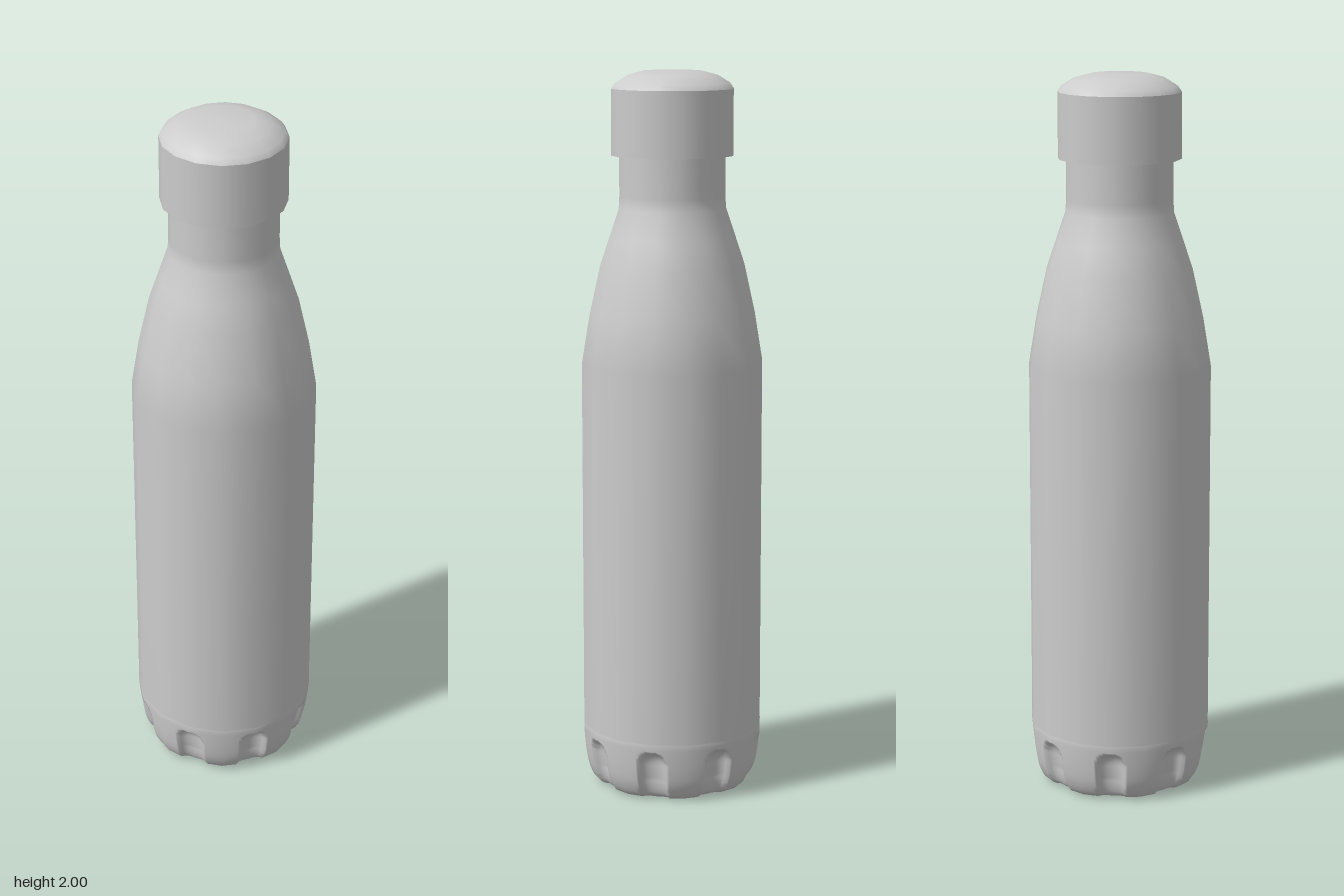
import * as THREE from 'three';
import { mergeVertices } from 'three/addons/utils/BufferGeometryUtils.js';

const SIDES = 16;
const vectors = (points) => points.map(([r, y]) => new THREE.Vector2(r, y));

// Eight arched scoops, spaced evenly around the foot
function scoopDepth(angle, r, y) {
  const step = Math.PI / 4;
  const across = (angle - Math.round(angle / step) * step) * r / 0.04;
  const up = Math.max(0, (y - 0.105) / 0.04);
  const inside = 1 - across * across - up * up;
  const depth = 0.016 + 0.012 * Math.min(1, y / 0.06);
  return inside > 0 ? depth * Math.sqrt(inside) : 0;
}

// Finely turned surface with scoops, then pulled in to the sixteen-sided outline
function scoopedLathe(points) {
  let geometry = new THREE.LatheGeometry(points, 256);
  geometry.deleteAttribute('uv');
  geometry.deleteAttribute('normal');
  const scaleRing = (rule) => {
    const p = geometry.attributes.position;
    for (let i = 0; i < p.count; i++) {
      const x = p.getX(i), y = p.getY(i), z = p.getZ(i);
      const r = Math.hypot(x, z);
      if (r < 1e-6) continue;
      const k = rule(Math.atan2(x, z), r, y);
      p.setXYZ(i, x * k, y, z * k);
    }
  };
  scaleRing((a, r, y) => (r < 0.15 ? 1 : 1 - scoopDepth(a, r, y) / r));
  geometry = mergeVertices(geometry, 1e-5);
  geometry.computeVertexNormals();
  const side = 2 * Math.PI / SIDES;
  scaleRing((a) => {
    const local = a - Math.floor(a / side) * side - side / 2;
    return Math.cos(side / 2) / Math.cos(local);
  });
  return geometry;
}

export function createModel() {
  const group = new THREE.Group();
  const steel = new THREE.MeshStandardMaterial({ color: 0xcccccc });
  steel.name = 'light grey';
  const add = (name, geometry) => {
    const mesh = new THREE.Mesh(geometry, steel);
    mesh.name = name;
    group.add(mesh);
  };

  // Straight body, shoulder and neck
  add('body', new THREE.LatheGeometry(vectors([
    [0.253, 0.17], [0.253, 1.2], [0.231, 1.335], [0.201, 1.47],
    [0.176, 1.545], [0.149, 1.625], [0.147, 1.66], [0.147, 1.78],
  ]), SIDES));

  // Rounded foot with scoops, and its flat underside
  const footCurve = new THREE.SplineCurve(vectors([
    [0.202, 0], [0.222, 0.012], [0.238, 0.045], [0.247, 0.09], [0.253, 0.15], [0.253, 0.17],
  ]));
  add('foot', scoopedLathe(footCurve.getPoints(50)));
  add('underside', scoopedLathe(vectors([[0, 0], [0.202, 0]])));

  // Cap: flat lower rim, straight wall, domed top
  add('capRim', new THREE.LatheGeometry(vectors([[0.14, 1.77], [0.169, 1.77]]), SIDES));
  add('capWall', new THREE.LatheGeometry(vectors([[0.169, 1.77], [0.169, 1.95]]), SIDES));
  add('capDome', new THREE.LatheGeometry(vectors([
    [0.169, 1.95], [0.159, 1.965], [0.125, 1.986], [0.08, 1.998], [0, 2],
  ]), SIDES));

  return group;
}
